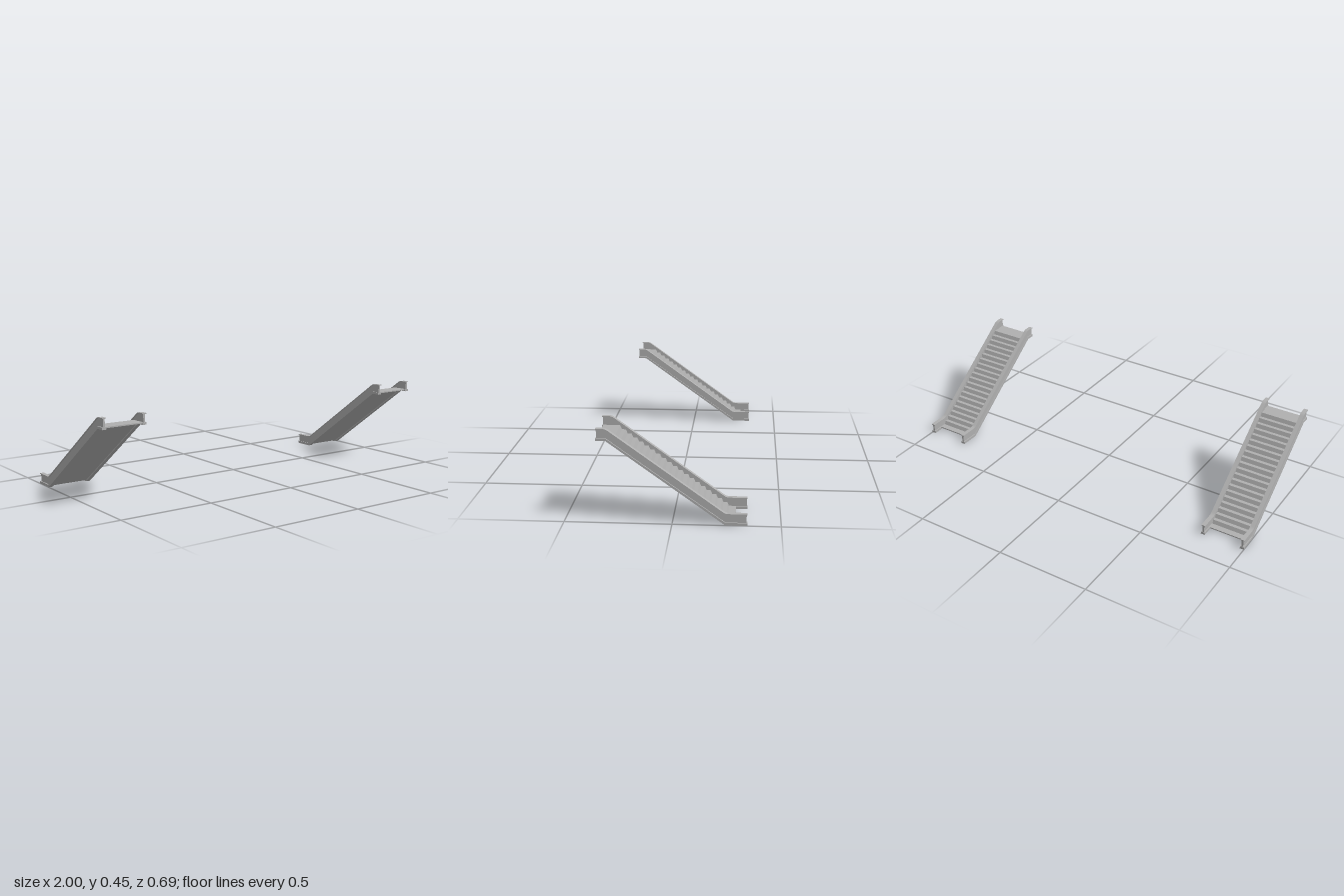
import * as THREE from 'three';

const material = new THREE.MeshStandardMaterial({ color: 0xafafaf, flatShading: true });

// Extrude a (z, y) outline across x, centred on cx
function slab(name, points, width, cx) {
  const shape = new THREE.Shape(points.map(([z, y]) => new THREE.Vector2(z, y)));
  const geometry = new THREE.ExtrudeGeometry(shape, { depth: width, bevelEnabled: false });
  geometry.translate(0, 0, -width / 2);
  geometry.rotateY(-Math.PI / 2);
  const mesh = new THREE.Mesh(geometry, material);
  mesh.name = name;
  mesh.position.x = cx;
  return mesh;
}

// Line along the incline: flat bottom run, slope, flat top run; bends eased by radius r
function inclineLine(end, low, high, r) {
  const p = [[-end, low], [-0.245, low], [0.3, high], [end, high]].map(([z, y]) => new THREE.Vector2(z, y));
  const line = [p[0]];
  for (const i of [1, 2]) {
    if (r === 0) {
      line.push(p[i]);
      continue;
    }
    const before = p[i - 1].clone().sub(p[i]).setLength(r).add(p[i]);
    const after = p[i + 1].clone().sub(p[i]).setLength(r).add(p[i]);
    line.push(...new THREE.QuadraticBezierCurve(before, p[i], after).getPoints(8));
  }
  line.push(p[3]);
  return line.map((v) => [v.x, v.y]);
}

// Closed band between a lower and an upper incline line
function band(end, lowA, lowB, highA, highB, r = 0) {
  return [...inclineLine(end, lowA, highA, r), ...inclineLine(end, lowB, highB, r).reverse()];
}

function balustrade(name, cx) {
  const group = new THREE.Group();
  group.name = name;
  group.add(slab('skirt', band(0.345, 0, 0.013, 0.393, 0.405), 0.022, 0));
  group.add(slab('sidePanel', band(0.342, 0.011, 0.054, 0.403, 0.446), 0.01, 0));
  group.add(slab('handrail', band(0.345, 0.052, 0.056, 0.445, 0.449, 0.014), 0.022, 0));
  group.position.x = cx;
  return group;
}

function escalator(name, cx) {
  const group = new THREE.Group();
  group.name = name;

  // Stepped deck with raked risers, landings at both ends and a recessed underside
  const count = 20, zLow = -0.275, zHigh = 0.26, yLow = 0.013, yHigh = 0.405;
  const run = (zHigh - zLow) / count, rise = (yHigh - yLow) / count;
  const outline = [[-0.29, 0.007], [-0.245, 0.007], [0.3, 0.399], [0.34, 0.399], [0.34, yHigh]];
  for (let i = count; i > 0; i--) {
    const z = zLow + run * i;
    outline.push([z, yLow + rise * i], [z - run * 0.3, yLow + rise * (i - 1)]);
  }
  outline.push([-0.29, yLow]);
  group.add(slab('steps', outline, 0.2, 0));

  for (const side of [-1, 1]) {
    group.add(balustrade(side > 0 ? 'leftBalustrade' : 'rightBalustrade', side * 0.108));
  }
  group.position.x = cx;
  return group;
}

export function createModel() {
  const model = new THREE.Group();
  model.name = 'escalatorPair';
  model.add(escalator('leftEscalator', 0.881), escalator('rightEscalator', -0.881));
  return model;
}
